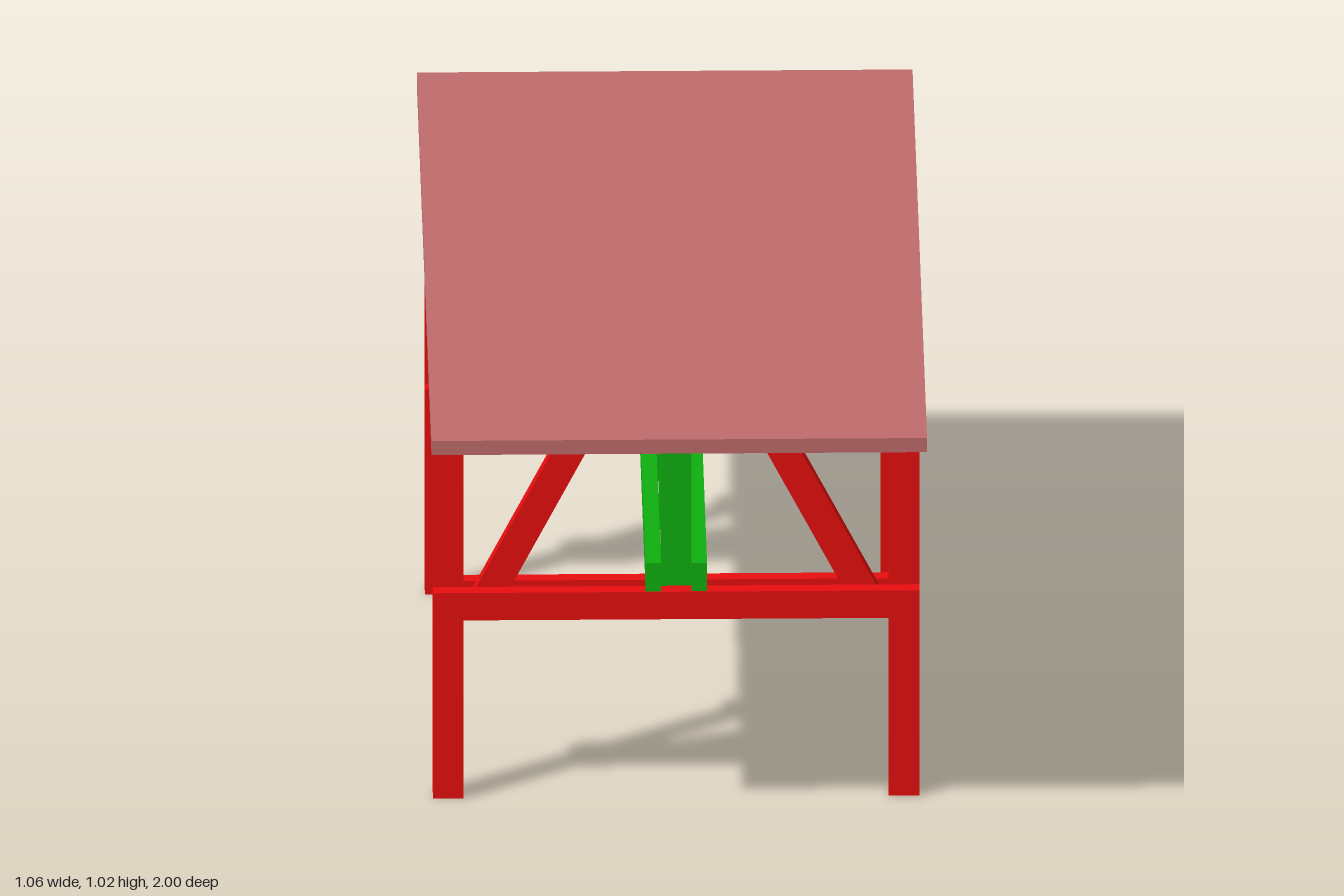
import * as THREE from 'three';

const RED = new THREE.MeshStandardMaterial({ color: 0xe80e0e });
const GREEN = new THREE.MeshStandardMaterial({ color: 0x10b010 });
const TOP = new THREE.MeshStandardMaterial({ color: 0xc06c6c });

const T = 0.033;        // plank thickness
const W = 0.066;        // plank width
const TOP_Y = 0.988;    // underside of the table top
const FRAME_Z = 0.553;  // distance of each end frame from the middle

// Box given by its extents on each axis
function plank(name, material, [x0, x1], [y0, y1], [z0, z1]) {
  const mesh = new THREE.Mesh(new THREE.BoxGeometry(x1 - x0, y1 - y0, z1 - z0), material);
  mesh.position.set((x0 + x1) / 2, (y0 + y1) / 2, (z0 + z1) / 2);
  mesh.name = name;
  return mesh;
}

// Slanted plank with level ends, drawn in the xy plane and centred on z = 0
function brace(name, material, points, depth) {
  const shape = new THREE.Shape(points.map(([x, y]) => new THREE.Vector2(x, y)));
  const geometry = new THREE.ExtrudeGeometry(shape, { depth, bevelEnabled: false });
  geometry.translate(0, 0, -depth / 2);
  const mesh = new THREE.Mesh(geometry, material);
  mesh.name = name;
  return mesh;
}

// Two legs clasped between paired rails, with a brace on each side
function endFrame(name) {
  const frame = new THREE.Group();
  frame.name = name;
  const half = 0.522;
  for (const s of [-1, 1]) {
    const side = s > 0 ? 'left' : 'right';
    const x = s * (half - W / 2);
    frame.add(plank(side + 'Leg', RED, [x - W / 2, x + W / 2], [0, TOP_Y], [-T / 2, T / 2]));

    const corners = [[0.462, 0.43], [0.388, 0.43], [0.1, TOP_Y], [0.174, TOP_Y]];
    frame.add(brace(side + 'Brace', RED, corners.map(([px, py]) => [s * px, py]), T));

    const z = s * T;
    const face = s > 0 ? 'front' : 'back';
    for (const [level, y] of [['Upper', [0.921, TOP_Y]], ['Lower', [0.43, 0.494]]]) {
      frame.add(plank(face + level + 'Rail', RED, [-half, half], y, [z - T / 2, z + T / 2]));
    }
  }
  return frame;
}

// Long truss that ties the end frames together
function stretcher() {
  const truss = new THREE.Group();
  truss.name = 'stretcher';
  const x = [-W / 2, W / 2];

  // paired chords
  for (const s of [-1, 1]) {
    const cx = s * (W / 2 + T / 2);
    const side = s > 0 ? 'left' : 'right';
    for (const [level, y] of [['Upper', [0.821, 0.887]], ['Lower', [0.495, 0.561]]]) {
      truss.add(plank(side + level + 'Chord', GREEN, [cx - T / 2, cx + T / 2], y, [-0.602, 0.602]));
    }
    // tall post held between the rails of each end frame
    truss.add(plank(s > 0 ? 'frontPost' : 'backPost', GREEN, x, [0.43, TOP_Y],
      [s * FRAME_Z - T / 2, s * FRAME_Z + T / 2]));
  }

  // short posts between the chords
  [0.254, -0.013, -0.281].forEach((z, i) => {
    truss.add(plank('innerPost' + (i + 1), GREEN, x, [0.495, 0.887], [z - T / 2, z + T / 2]));
  });

  // single brace at the back, turned so its x axis runs along -z
  const diagonal = brace('stretcherBrace', GREEN,
    [[0.5, 0.495], [0.537, 0.495], [0.334, 0.887], [0.297, 0.887]], W);
  diagonal.rotation.y = Math.PI / 2;
  truss.add(diagonal);
  return truss;
}

export function createModel() {
  const table = new THREE.Group();
  table.name = 'table';
  table.add(plank('tableTop', TOP, [-0.532, 0.532], [TOP_Y, 1.021], [-1, 1]));
  for (const s of [1, -1]) {
    const frame = endFrame(s > 0 ? 'frontFrame' : 'backFrame');
    frame.position.z = s * FRAME_Z;
    table.add(frame);
  }
  table.add(stretcher());
  return table;
}
